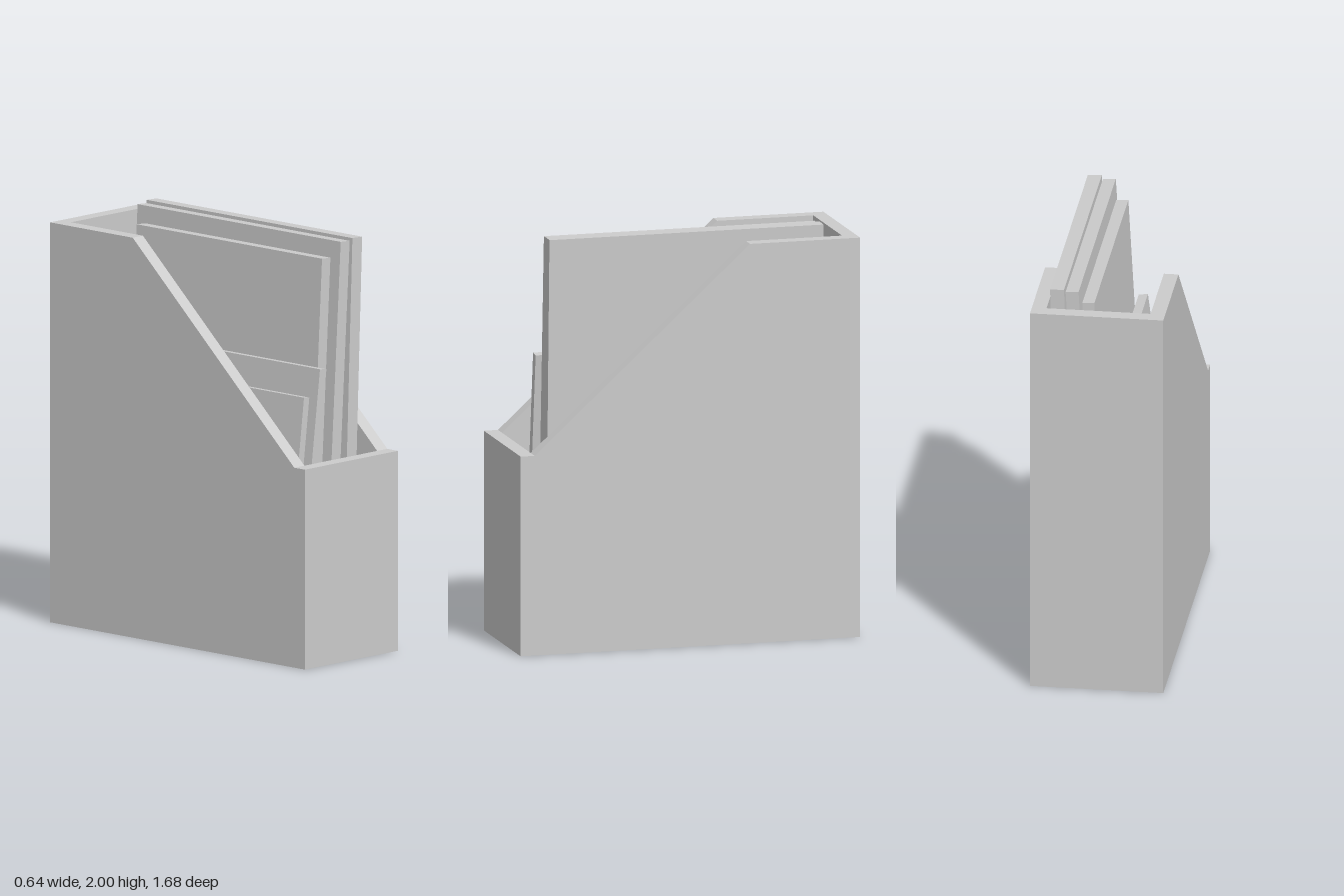
import * as THREE from 'three';

const W = 0.32, D = 0.84, H = 1.94, FRONT_H = 0.97, T = 0.07;

export function createModel() {
  const group = new THREE.Group();
  const material = new THREE.MeshStandardMaterial({ color: 0xcccccc, flatShading: true });

  const add = (name, geometry, x, y, z) => {
    const mesh = new THREE.Mesh(geometry, material);
    mesh.name = name;
    mesh.position.set(x, y, z);
    group.add(mesh);
    return mesh;
  };

  // Side walls: profile drawn in (z, y), sloping down to the low front
  const profile = new THREE.Shape([
    [-D, 0], [D, 0], [D, FRONT_H], [D - T, FRONT_H], [-0.295, H], [-D, H],
  ].map(([z, y]) => new THREE.Vector2(z, y)));
  const side = new THREE.ExtrudeGeometry(profile, { depth: T, bevelEnabled: false });
  side.rotateY(-Math.PI / 2);
  add('leftWall', side, W, 0, 0);
  add('rightWall', side, -W + T, 0, 0);

  // Front wall, back wall and floor between the sides
  const inner = 2 * (W - T);
  add('frontWall', new THREE.BoxGeometry(inner, FRONT_H, T), 0, FRONT_H / 2, D - T / 2);
  add('backWall', new THREE.BoxGeometry(inner, H, T), 0, H / 2, -D + T / 2);
  add('floor', new THREE.BoxGeometry(inner, T, 2 * (D - T)), 0, T / 2, 0);

  // Leaning folders: top corner x, top y, thickness, lean (dx/dy), back z, front z
  const folders = [
    [-0.107, 1.26, 0.037, 0.122, -0.207, 0.63],
    [-0.044, 1.395, 0.045, 0.125, -0.255, 0.675],
    [0.041, 1.91, 0.058, 0.056, -0.615, 0.607],
    [0.109, 1.99, 0.062, 0.06, -0.674, 0.665],
    [0.178, 2.0, 0.067, 0.036, -0.68, 0.676],
  ];
  folders.forEach(([x, y, thick, lean, back, front], i) => {
    const angle = Math.atan(lean);
    // Length that lets the lower corner rest on the floor
    const length = (y - T - thick * Math.sin(angle)) / Math.cos(angle);
    const geometry = new THREE.BoxGeometry(thick, length, front - back);
    geometry.translate(thick / 2, -length / 2, 0);
    add(`folder${i + 1}`, geometry, x, y, (front + back) / 2).rotation.z = -angle;
  });

  return group;
}
